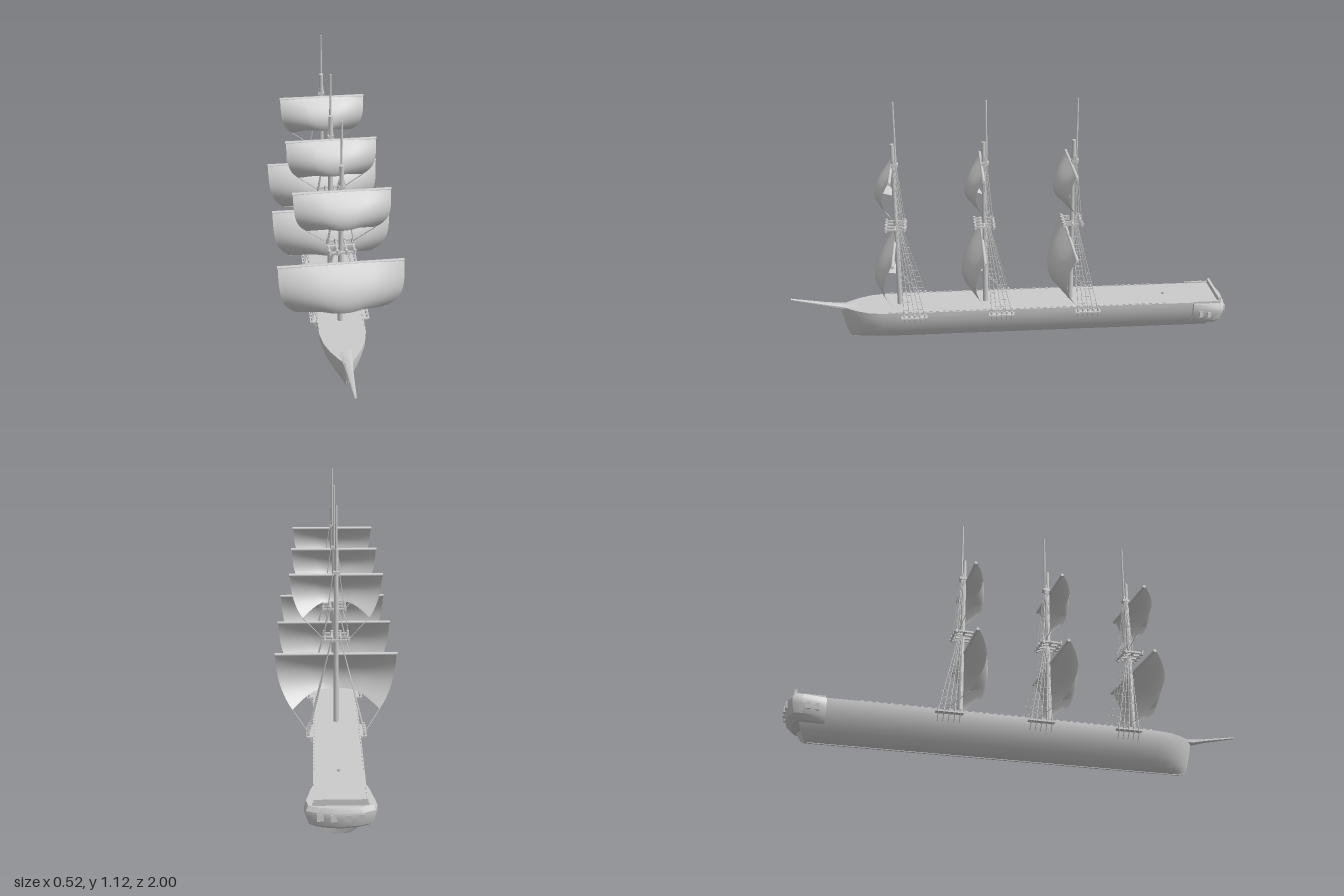
import * as THREE from 'three';
import { mergeGeometries, toCreasedNormals } from 'three/addons/utils/BufferGeometryUtils.js';

const grey = new THREE.MeshStandardMaterial({ color: 0xcccccc });
const cloth = new THREE.MeshStandardMaterial({ color: 0xcccccc, side: THREE.DoubleSide });
const V = (x, y, z) => new THREE.Vector3(x, y, z);
const lerp = THREE.MathUtils.lerp;

function part(name, geometry, material = grey) {
  const mesh = new THREE.Mesh(geometry, material);
  mesh.name = name;
  return mesh;
}

// Closed skin through equal-length rings of points, capped at both ends
function loft(rings, crease = 0.6) {
  const n = rings[0].length, index = [], last = (rings.length - 1) * n;
  for (let i = 0; i < rings.length - 1; i++) {
    for (let j = 0; j < n; j++) {
      const a = i * n + j, b = i * n + (j + 1) % n;
      index.push(a, b, a + n, b, b + n, a + n);
    }
  }
  for (let j = 1; j < n - 1; j++) index.push(0, j + 1, j, last, last + j, last + j + 1);
  const g = new THREE.BufferGeometry().setFromPoints(rings.flat());
  g.setIndex(index);
  return toCreasedNormals(g, crease);
}

// Round spar or rope between two points
function rod(a, b, r0, r1 = r0, sides = 4) {
  const dir = b.clone().sub(a);
  const g = new THREE.CylinderGeometry(r1, r0, dir.length(), sides);
  g.applyQuaternion(new THREE.Quaternion().setFromUnitVectors(V(0, 1, 0), dir.normalize()));
  const m = a.clone().add(b).multiplyScalar(0.5);
  return g.translate(m.x, m.y, m.z);
}

function box(w, h, d, x, y, z, turn = 0) {
  return new THREE.BoxGeometry(w, h, d).rotateY(turn).translate(x, y, z);
}

// Billowing square sail with an arched foot
function sail(halfWidth, top, drop, cornerDrop, depth) {
  const g = new THREE.PlaneGeometry(2, 1, 28, 14), p = g.attributes.position;
  for (let i = 0; i < p.count; i++) {
    const u = p.getX(i), v = 0.5 - p.getY(i), e = u * u;
    const foot = drop + (cornerDrop - drop) * Math.max(0, (Math.abs(u) - 0.4) / 0.6) ** 1.4;
    const middle = depth * Math.sin(v * 2.1);
    const edge = depth * (0.5 * Math.sin(Math.PI * v) - 0.2 * v);
    p.setXYZ(i, u * halfWidth * (1 - 0.27 * v ** 3), top - v * foot, 0.022 + lerp(middle, edge, e));
  }
  g.computeVertexNormals();
  return g;
}

// Fan of ropes crossed by ratlines
function shrouds(side, count, rows, base, head) {
  const out = [];
  const lines = [...Array(count).keys()].map(i => [base(i), head(i)].map(q => q.setX(q.x * side)));
  lines.forEach(([a, b]) => out.push(rod(a, b, 0.0015)));
  const [first, final] = [lines[0], lines[count - 1]];
  for (let k = 1; k <= rows; k++) {
    const t = k / (rows + 2);
    out.push(rod(first[0].clone().lerp(first[1], t), final[0].clone().lerp(final[1], t), 0.001));
  }
  return out;
}

function createMast() {
  const mast = new THREE.Group();
  mast.add(part('lowerMast', rod(V(0, 0.14, 0.007), V(0, 0.58, 0.007), 0.0125, 0.0105, 14)));
  mast.add(part('upperMast', rod(V(0, 0.56, 0.008), V(0, 0.93, 0.008), 0.0105, 0.009, 14)));
  mast.add(part('topmast', rod(V(0, 0.82, -0.004), V(0, 1.115, -0.004), 0.005, 0.004, 10)));
  mast.add(part('mastCap', box(0.026, 0.012, 0.032, 0, 0.835, 0.002)));

  // Sails and their yards
  mast.add(part('lowerSail', sail(0.258, 0.472, 0.197, 0.255, 0.092), cloth));
  mast.add(part('upperSail', sail(0.19, 0.822, 0.142, 0.188, 0.073), cloth));
  for (const [w, y] of [[0.26, 0.468], [0.193, 0.818]]) {
    mast.add(part('yard', rod(V(-w, y, 0.018), V(w, y, 0.018), 0.007, 0.007, 10)));
  }

  // Crosstree frame
  const frame = [];
  for (const z of [0.052, 0.008, -0.032]) frame.push(box(0.112, 0.008, 0.008, 0, 0.55, z));
  for (const x of [-0.05, -0.018, 0.018, 0.05]) {
    frame.push(box(0.006, 0.008, 0.096, x, 0.551, 0.008));
    for (const z of [0.052, -0.028]) frame.push(rod(V(x, 0.54, z), V(x, 0.562, z), 0.006, 0.006, 8));
  }
  mast.add(part('crosstree', mergeGeometries(frame)));

  const ropes = [], channels = [];
  for (const s of [-1, 1]) {
    ropes.push(...shrouds(s, 5, 10,
      i => V(0.118, 0.15, -0.015 - i * 0.023), i => V(0.017, 0.55, 0.005 - i * 0.004)));
    ropes.push(...shrouds(s, 4, 6,
      i => V(0.052, 0.555, 0.004 - i * 0.011), i => V(0.009, 0.86, 0.006 - i * 0.003)));
    // Sheets from the sail corners
    ropes.push(rod(V(s * 0.188, 0.217, 0.004), V(s * 0.118, 0.15, -0.085), 0.002));
    ropes.push(rod(V(s * 0.139, 0.634, 0.007), V(s * 0.053, 0.552, -0.02), 0.002));
    // Chain plates outside the hull
    channels.push(box(0.03, 0.006, 0.116, s * 0.112, 0.146, -0.06));
    for (let i = 0; i < 5; i++) {
      const z = -0.015 - i * 0.023;
      channels.push(rod(V(s * 0.118, 0.148, z), V(s * 0.118, 0.162, z), 0.005, 0.005, 8));
      channels.push(rod(V(s * 0.122, 0.146, z), V(s * 0.098, 0.11, z), 0.002));
    }
  }
  mast.add(part('rigging', mergeGeometries(ropes)));
  mast.add(part('channels', mergeGeometries(channels)));
  return mast;
}

function createHull() {
  const hull = new THREE.Group();
  // Half section as fractions of beam and height
  const half = [[0.2, 0.015], [0.42, 0.09], [0.6, 0.21], [0.75, 0.36], [0.89, 0.55], [0.97, 0.74], [1, 0.9], [1, 1]];
  const section = [[0, 0], ...half, ...half.map(([x, y]) => [-x, y]).reverse()];
  // keel z, deck z, half beam
  const stations = [[-0.905, -0.965, 0.098], [-0.8, -0.82, 0.1], [-0.3, -0.3, 0.1], [0.2, 0.2, 0.1], [0.48, 0.48, 0.1],
    [0.57, 0.59, 0.098], [0.625, 0.65, 0.086], [0.67, 0.7, 0.064], [0.705, 0.74, 0.038], [0.728, 0.768, 0.018], [0.735, 0.78, 0.006]];
  hull.add(part('hullBody', loft(stations.map(([zb, zt, w]) =>
    section.map(([x, y]) => V(x * w, 0.002 + y * 0.16, lerp(zb, zt, y ** 0.6)))))));
  hull.add(part('keel', box(0.008, 0.006, 1.62, 0, 0.003, -0.085)));

  // Bowsprit tapering out of the stem
  const spar = [[0.7, 0.152, 0.05, 0.012], [0.745, 0.155, 0.028, 0.013], [0.79, 0.16, 0.019, 0.013],
    [0.85, 0.172, 0.014, 0.008], [1, 0.2, 0.005, 0.004]];
  hull.add(part('bowsprit', loft(spar.map(([z, y, w, h]) => [...Array(8).keys()].map(k => {
    const a = (k + 0.5) * Math.PI / 4;
    return V(w * Math.cos(a), y + h * Math.sin(a), z);
  })))));

  // Stern gallery wrapped around the transom
  const side = [[0.115, -0.84], [0.135, -0.935], [0.127, -0.972], [0.08, -0.991]];
  const outline = [...side, [0, -1], ...side.map(([x, z]) => [-x, z]).reverse()];
  const levels = [[0.06, 0.78], [0.08, 0.92], [0.12, 1], [0.14, 1], [0.158, 0.94]];
  hull.add(part('sternGallery', loft(levels.map(([y, s]) =>
    outline.map(([x, z]) => V(x * s, y, -0.84 + (z + 0.84) * s))), 0.5)));
  const windows = [];
  for (const s of [-1, 1]) {
    for (const z of [-0.875, -0.91]) windows.push(box(0.008, 0.028, 0.018, s * (0.122 + (-0.875 - z) * 0.2), 0.112, z, s * 0.2));
    for (const x of [0.025, 0.075]) windows.push(box(0.024, 0.028, 0.008, s * x, 0.122, x < 0.05 ? -0.995 : -0.99, s * 0.12));
  }
  hull.add(part('galleryWindows', mergeGeometries(windows)));

  // Stern rail with short arms
  const rail = [box(0.2, 0.026, 0.012, 0, 0.17, -0.962)];
  for (const s of [-1, 1]) rail.push(box(0.008, 0.012, 0.12, s * 0.1, 0.162, -0.905));
  hull.add(part('sternRail', mergeGeometries(rail)));

  // Row of small pins along each deck edge
  const pins = [];
  for (let i = 0; i < 42; i++) {
    for (const s of [-1, 1]) pins.push(box(0.004, 0.006, 0.014, s * 0.096, 0.164, 0.55 - i * 0.0305));
  }
  hull.add(part('deckPins', mergeGeometries(pins)));
  hull.add(part('helmPost', rod(V(0, 0.16, -0.72), V(0, 0.172, -0.72), 0.007, 0.007, 10)));
  return hull;
}

export function createModel() {
  const ship = new THREE.Group();
  ship.name = 'sailingShip';
  const hull = createHull();
  hull.name = 'hull';
  ship.add(hull);
  const mast = createMast();
  [['foreMast', 0.5], ['mainMast', 0.107], ['aftMast', -0.287]].forEach(([name, z]) => {
    const m = mast.clone();
    m.name = name;
    m.position.z = z;
    ship.add(m);
  });
  return ship;
}
